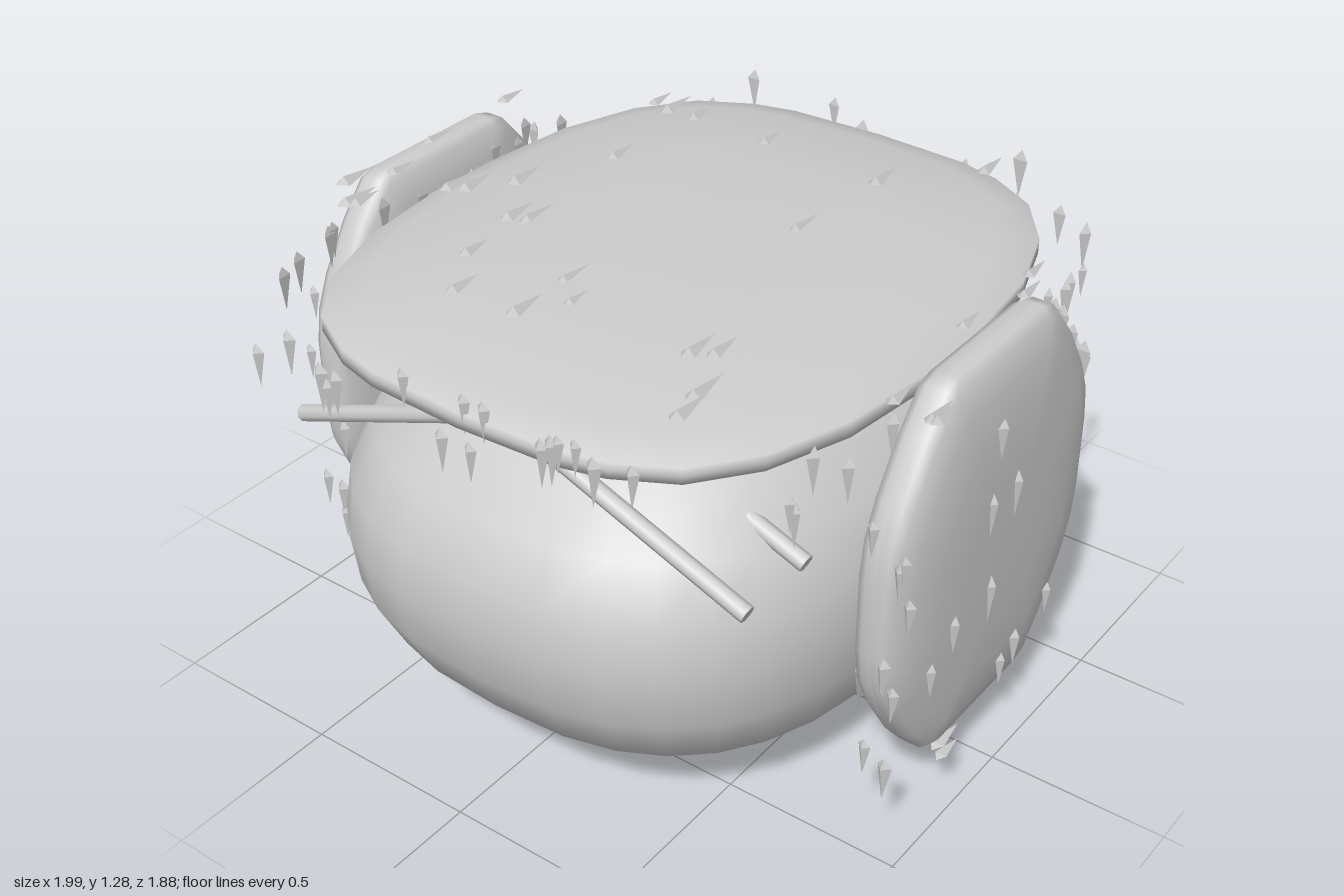
import * as THREE from 'three';

const grey = new THREE.MeshStandardMaterial({ color: 0xcccccc });
const facet = new THREE.MeshStandardMaterial({ color: 0xcccccc, flatShading: true });

// Mirror a quarter outline (from +x round to +z) into a closed loop
function mirrorOutline(q) {
  const back = q.slice(1).reverse(), fwd = q.slice(0, -1);
  return [
    ...fwd, ...back.map(([x, z]) => [-x, z]),
    ...fwd.map(([x, z]) => [-x, -z]), ...back.map(([x, z]) => [x, -z]),
  ];
}

// Smooth skin over scaled copies of an outline; rings are [y, rx, rz]
function loft(outline, rings) {
  const pos = [], index = [], n = outline.length;
  for (const [y, rx, rz] of rings) for (const [x, z] of outline) pos.push(x * rx, y, z * rz);
  for (let i = 0; i < rings.length - 1; i++) {
    for (let j = 0; j < n; j++) {
      const a = i * n + j, b = i * n + (j + 1) % n;
      index.push(a, a + n, b, b, a + n, b + n);
    }
  }
  const g = new THREE.BufferGeometry();
  g.setAttribute('position', new THREE.Float32BufferAttribute(pos, 3));
  g.setIndex(index);
  g.computeVertexNormals();
  return g;
}

// Flat cushion with a thin rim; the rim lists [height, radius] from centre to edge
function cushion(quarter, rim, rx, h, rz) {
  const full = [...rim.map(([t, r]) => [-t, r]), ...rim.slice().reverse()];
  return loft(mirrorOutline(quarter), full.map(([t, r]) => [t * h, r * rx, r * rz]));
}

// Round bar between two points
function rod(name, a, b, r) {
  const p = new THREE.Vector3(...a), q = new THREE.Vector3(...b), d = q.clone().sub(p);
  const m = new THREE.Mesh(new THREE.CylinderGeometry(r, r, d.length(), 8), grey);
  m.position.copy(p).add(q).multiplyScalar(0.5);
  m.quaternion.setFromUnitVectors(new THREE.Vector3(0, 1, 0), d.normalize());
  m.name = name;
  return m;
}

let seed = 7;
const rand = () => (seed = (seed * 16807) % 2147483647) / 2147483647;
const spread = (n, u, v0, v1) =>
  Array.from({ length: n }, () => [(rand() * 2 - 1) * u, v0 + rand() * (v1 - v0)]);

// Three-sided leaf, tip down, ridge towards +z
const leafGeo = new THREE.LatheGeometry(
  [[0, -0.08], [0.023, 0.022], [0, 0.048]].map(p => new THREE.Vector2(...p)), 3);
leafGeo.scale(1, 1, 0.6);

// Leaves lying in a plane, ridges facing side s of the axis; spots are the other two coordinates
function leaves(name, axis, s, at, spots) {
  const group = new THREE.Group();
  group.name = name;
  for (const [u, v] of spots) {
    const m = new THREE.Mesh(leafGeo, facet);
    if (axis === 'x') { m.position.set(at, v, u); m.rotation.y = s * Math.PI / 2; }
    if (axis === 'y') { m.position.set(u, at, v); m.rotation.set(-s * Math.PI / 2, 0, s > 0 ? Math.PI : 0); }
    if (axis === 'z') { m.position.set(u, v, at); m.rotation.y = s > 0 ? 0 : Math.PI; }
    m.scale.setScalar(0.8 + rand() * 0.35);
    m.name = 'leaf';
    group.add(m);
  }
  return group;
}

export function createModel() {
  const model = new THREE.Group();
  const add = (name, geo) => {
    const m = new THREE.Mesh(geo, grey);
    m.name = name;
    model.add(m);
    return m;
  };

  // Rounded, slightly square body with a cut-off base
  const oval = Array.from({ length: 9 }, (_, i) => {
    const a = i * Math.PI / 16, e = 2 / 2.65;
    return [Math.max(0, Math.cos(a)) ** e, Math.sin(a) ** e];
  });
  oval[8] = [0, 1];
  add('body', loft(mirrorOutline(oval), [
    [0, 0, 0], [0, 0.44, 0.52], [0.11, 0.57, 0.67], [0.25, 0.73, 0.84], [0.4, 0.78, 0.915],
    [0.56, 0.785, 0.94], [0.7, 0.765, 0.92], [0.84, 0.7, 0.85], [0.97, 0.57, 0.7],
    [1.07, 0.43, 0.5], [1.13, 0.2, 0.25], [1.14, 0, 0]]));

  // Roof cushion
  const roofQuarter = [[1, 0], [1, 0.13], [0.96, 0.44], [0.86, 0.69], [0.71, 0.86],
    [0.52, 0.95], [0.36, 0.985], [0, 1]];
  const roofRim = [[1, 0], [1, 0.48], [0.78, 0.7], [0.52, 0.89], [0.22, 1], [0, 1]];
  add('roof', cushion(roofQuarter, roofRim, 0.785, 0.1, 0.91)).position.y = 1.165;

  // Side cushions, stood on edge
  const sideQuarter = [[1, 0], [1, 0.2], [0.97, 0.38], [0.88, 0.56], [0.7, 0.8],
    [0.53, 0.97], [0.42, 1], [0, 1]];
  const sideRim = [[1, 0], [1, 0.4], [0.93, 0.66], [0.78, 0.85], [0.55, 0.97], [0.3, 1], [0, 1]];
  for (const s of [-1, 1]) {
    // outline is turned so its long direction stands upright
    const upright = sideQuarter.map(([z, y]) => [y, z]).reverse();
    const m = add(s > 0 ? 'leftCushion' : 'rightCushion', cushion(upright, sideRim, 0.555, 0.095, 0.475));
    m.position.set(s * 0.885, 0.71, 0);
    m.rotation.z = -Math.PI / 2;
  }

  // Sloping roof struts, rails bent round the back, and back chevrons
  for (const s of [-1, 1]) {
    for (const z of [-0.74, -0.5, 0.5, 0.74]) {
      model.add(rod('roofStrut', [s * 0.71, 0.82, z], [0, 1.09, z], 0.024));
    }
    for (const y of [0.3, 0.81]) {
      model.add(rod('backRail', [s * 0.55, y, -0.86], [0, y, -0.905], 0.019));
    }
    for (const y of [0.44, 0.75]) {
      model.add(rod('backChevron', [s * 0.46, y, -0.92], [s * 0.27, 0.6, -0.925], 0.013));
    }
  }

  // Leaves around the roof
  model.add(
    leaves('roofTopLeaves', 'y', 1, 1.265, [[-0.55, -0.58], [-0.49, -0.57], [-0.4, -0.57],
      [-0.15, -0.56], [0.23, -0.54], [0.43, -0.77], [-0.43, -0.24], [0.21, -0.19], [-0.55, 0.03],
      [-0.67, 0.17], [-0.63, 0.14], [-0.43, 0.2], [-0.38, 0.18], [-0.39, 0.41], [-0.29, 0.57],
      [-0.1, 0.56], [-0.1, 0.37], [-0.02, 0.45], [0.35, 0.46], [0.4, 0.43], [0.47, 0.6], [0.49, 0.69]]),
    leaves('roofUnderLeaves', 'y', -1, 1.065, spread(16, 0.6, -0.7, 0.7)),
    leaves('roofFrontLeaves', 'z', 1, 0.905, [[-0.67, 1.08], [-0.55, 1.16], [-0.45, 1.1],
      [-0.43, 1.07], [-0.4, 1.1], [-0.17, 1.2], [-0.06, 1.07], [0.03, 1.07], [0.02, 1.2],
      [0.08, 1.2], [0.25, 1.16], [0.28, 1.18], [0.3, 1.2], [0.4, 1.17], [0.35, 1.21], [0.51, 1.2]]),
    leaves('roofBackLeaves', 'z', -1, -0.905, spread(15, 0.6, 1.06, 1.24)),
    leaves('roofLeftLeaves', 'x', 1, 0.785, [[0.67, 1.08], [0.69, 1.12], [0.6, 1.19], [0.45, 1.08],
      [0.26, 1.1], [0.1, 1.15], [-0.2, 1.12], [-0.42, 1.1], [-0.44, 1.07], [-0.49, 1.1],
      [-0.59, 1.07], [-0.61, 1.08], [-0.68, 1.09], [-0.67, 1.2]]),
    leaves('roofRightLeaves', 'x', -1, -0.785, spread(14, 0.7, 1.06, 1.22)));

  // Leaves around each side cushion
  const outer = [[0.08, 1.07], [0.1, 0.86], [-0.02, 0.86], [0.34, 0.5], [0.24, 0.58],
    [0.07, 0.59], [-0.26, 0.38], [-0.03, 0.29], [-0.1, 0.32]];
  const frontLeft = [[0.87, 0.96], [0.96, 0.9], [0.95, 0.87], [0.98, 0.78], [0.92, 0.57],
    [0.95, 0.5], [0.88, 0.3], [0.94, 0.26]];
  const frontRight = [[-0.92, 0.97], [-0.96, 0.77], [-0.81, 0.78], [-0.86, 0.55], [-0.95, 0.35],
    [-0.89, 0.33], [-0.82, 0.35], [-0.83, 0.21], [-0.89, 0.25]];
  for (const s of [-1, 1]) {
    const shift = list => list.map(([u, v]) => [u * 0.1 + s * 0.885, v]);
    model.add(
      leaves('cushionOuterLeaves', 'x', s, s * 0.98, s > 0 ? outer : spread(10, 0.38, 0.3, 1.1)),
      leaves('cushionInnerLeaves', 'x', -s, s * 0.79, spread(8, 0.45, 0.25, 1.15)),
      leaves('cushionFrontLeaves', 'z', 1, 0.475, s > 0 ? frontLeft : frontRight),
      leaves('cushionBackLeaves', 'z', -1, -0.475, shift(spread(8, 0.9, 0.25, 1.15))),
      leaves('cushionTopLeaves', 'y', 1, 1.265, shift(spread(6, 0.9, -0.4, 0.4))),
      leaves('cushionBottomLeaves', 'y', -1, 0.16, shift(spread(6, 0.9, -0.4, 0.4))));
  }
  return model;
}
